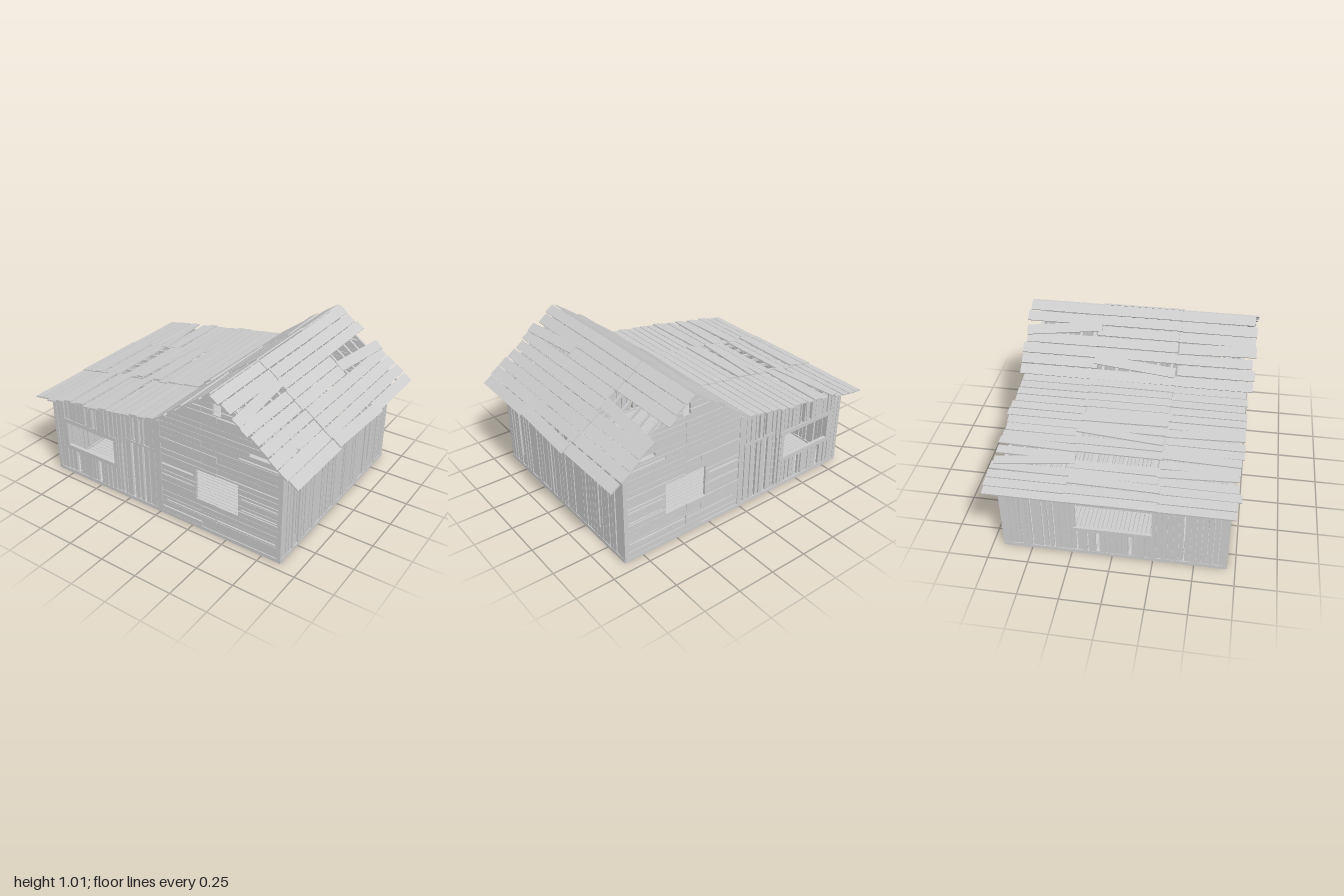
import * as THREE from 'three';
import { mergeGeometries } from 'three/addons/utils/BufferGeometryUtils.js';

const THICK = 0.016;
const material = new THREE.MeshStandardMaterial({ color: 0xcccccc, flatShading: true });

// Small seeded generator for weathering
let seed = 7;
const rnd = () => (seed = (seed * 16807) % 2147483647) / 2147483647;

// Underside of the roof at x
const roofY = (x) => (x < 0 ? 0.672 + 0.16 * x : x < 0.43 ? 0.672 + 0.74 * x : 0.99 - 0.74 * (x - 0.43));

// Flat plank from corner points, centred on z = 0
function plank(points, depth = THICK) {
  const shape = new THREE.Shape(points.map(([x, y]) => new THREE.Vector2(x, y)));
  return new THREE.ExtrudeGeometry(shape, { depth, bevelEnabled: false }).translate(0, 0, -depth / 2);
}
const rect = ([x0, x1, y0, y1], depth) => plank([[x0, y0], [x1, y0], [x1, y1], [x0, y1]], depth);

// Subtract rectangular openings from a rectangle [x0, x1, y0, y1]
function cut(r, holes) {
  let parts = [r];
  for (const [a, b, c, d] of holes) {
    parts = parts.flatMap(([x0, x1, y0, y1]) => {
      if (x1 <= a || x0 >= b || y1 <= c || y0 >= d) return [[x0, x1, y0, y1]];
      const l = Math.max(x0, a), h = Math.min(x1, b);
      return [[x0, l, y0, y1], [h, x1, y0, y1], [l, h, y0, Math.min(y1, c)], [l, h, Math.max(y0, d), y1]]
        .filter((p) => p[1] - p[0] > 0.004 && p[3] - p[2] > 0.004);
    });
  }
  return parts;
}

// Upright boards from u0 to u1 below a height function, cut around openings
function uprightBoards(u0, u1, y0, top, pitch, holes, wide) {
  const out = [];
  const n = Math.round((u1 - u0) / pitch), w = (u1 - u0) / n;
  for (let i = 0; i < n; i++) {
    const gap = rnd() < wide ? 0.009 : 0.002;
    const a = u0 + i * w, b = a + w - gap, off = (rnd() - 0.5) * 0.006;
    for (const [x0, x1, c, d] of cut([a, b, y0, 2], holes)) {
      out.push(plank([[x0, c], [x1, c], [x1, Math.min(d, top(x1))], [x0, Math.min(d, top(x0))]]).translate(0, 0, off));
    }
  }
  return out;
}

// Level siding under the gable, in two lengths per course
function gableSiding() {
  const holes = [[0.285, 0.58, 0.22, 0.43], [0.405, 0.46, 0.84, 0.915], [0.65, 0.845, 0.655, 0.68],
    [0.58, 0.845, 0.612, 0.622], [0.01, 0.26, 0.375, 0.383], [0.02, 0.27, 0.3, 0.307],
    [0.6, 0.845, 0.34, 0.348], [0.05, 0.42, 0.112, 0.119], [0.43, 0.84, 0.112, 0.122], [0.6, 0.845, 0.265, 0.273]];
  const out = [];
  const pitch = 0.0385;
  for (let i = 0, y = 0.025; y < 0.97; i++, y += pitch) {
    const seam = i % 3 ? 0.43 : 0.32;
    for (const [xa, xb] of [[0, seam], [seam + 0.002, 0.87]]) {
      const gap = rnd() < 0.25 ? 0.007 : 0.002, off = (rnd() - 0.5) * 0.006;
      for (const [x0, x1, a, b] of cut([xa, xb, y, y + pitch - gap], holes)) {
        const left = (v) => Math.max(x0, (v - 0.672) / 0.74);
        const right = (v) => Math.min(x1, 0.43 + (0.99 - v) / 0.74);
        if (left(b) < right(b)) {
          out.push(plank([[left(a), a], [right(a), a], [right(b), b], [left(b), b]]).translate(0, 0, off));
        }
      }
    }
  }
  return out;
}

// Lean-to end wall with window, rails and plank door
function leanToWall() {
  const holes = [[-0.77, -0.36, 0.19, 0.42], [-0.265, -0.025, 0, 0.445],
    [-0.71, -0.68, 0.03, 0.19], [-0.515, -0.485, 0.03, 0.19], [-0.6, -0.585, 0.43, 0.6],
    [-0.53, -0.515, 0.43, 0.6], [-0.2, -0.185, 0.46, 0.62], [-0.145, -0.135, 0.46, 0.62], [-0.3, -0.29, 0.03, 0.4]];
  const out = uprightBoards(-0.85, 0, 0.02, roofY, 0.035, holes, 0.3);
  out.push(rect([-0.79, -0.34, 0.19, 0.22], 0.022), rect([-0.79, -0.34, 0.39, 0.42], 0.022));
  out.push(rect([-0.79, -0.765, 0.22, 0.39], 0.022), rect([-0.365, -0.34, 0.22, 0.39], 0.022));
  // Door boards with uneven gaps
  for (const [a, b] of [[-0.26, -0.222], [-0.2, -0.165], [-0.155, -0.13], [-0.112, -0.078], [-0.07, -0.03]]) {
    out.push(rect([a, b, 0.025, 0.435]));
  }
  out.push(rect([-0.265, -0.025, 0.437, 0.452], 0.022));
  // A loose slanting board above the window
  out.push(plank([[-0.58, 0.425], [-0.56, 0.425], [-0.535, 0.585], [-0.555, 0.585]], 0.024));
  return out;
}

// Courses of roof boards along z, from slope point A to B (x, y)
function roofBoards([ax, ay], [bx, by], count, reach, flaws) {
  const out = [];
  const len = Math.hypot(bx - ax, by - ay), slope = Math.atan2(by - ay, bx - ax), w = len / count;
  const rows = [[-reach, -0.26], [-0.262, 0.265], [0.268, reach]];
  rows.forEach(([z0, z1], r) => {
    for (let i = 0; i < count; i++) {
      const flaw = flaws[r + ':' + i];
      if (flaw === null) continue;
      const yaw = flaw ?? (rnd() - 0.5) * 0.012;
      const width = w * (0.86 + 0.1 * rnd());
      const zMid = (z0 + z1) / 2 + (rnd() - 0.5) * 0.025;
      const g = new THREE.BoxGeometry(width, 0.009, z1 - z0 + 0.012);
      g.rotateZ((rnd() - 0.5) * 0.05).rotateY(yaw);
      g.translate((i + 0.5) * w, 0.004 + (flaw ? 0.009 : 0) + r % 2 * 0.006, 0);
      out.push(g.rotateZ(slope).translate(ax, ay, zMid));
    }
  });
  return out;
}

// Rafters running up a slope
function rafters([ax, ay], [bx, by]) {
  const out = [];
  const len = Math.hypot(bx - ax, by - ay) - 0.03, slope = Math.atan2(by - ay, bx - ax);
  for (let i = 0; i < 16; i++) {
    const g = new THREE.BoxGeometry(len, 0.016, 0.016).translate(0, -0.01, 0).rotateZ(slope);
    out.push(g.translate((ax + bx) / 2, (ay + by) / 2, -0.66 + i * 0.0893));
  }
  return out;
}

export function createModel() {
  seed = 7;
  const model = new THREE.Group();
  const add = (name, geometries) => {
    const mesh = new THREE.Mesh(mergeGeometries(geometries.map((g) => (g.index ? g.toNonIndexed() : g))), material);
    mesh.name = name;
    model.add(mesh);
    return mesh;
  };

  // Matching front and back walls
  const siding = add('frontGableSiding', gableSiding());
  const lean = add('frontLeanToWall', leanToWall());
  for (const [mesh, name] of [[siding, 'backGableSiding'], [lean, 'backLeanToWall']]) {
    mesh.position.z = 0.688;
    const back = mesh.clone();
    back.name = name;
    back.position.z = -0.67;
    model.add(back);
  }

  // Side walls of upright boards
  const sideWall = (name, x, height, holes) => {
    const boards = uprightBoards(-0.66, 0.68, 0.025, () => height, 0.034, holes, 0.3);
    add(name, boards.map((g) => g.rotateY(-Math.PI / 2).translate(x, 0, 0)));
  };
  sideWall('rightEndWall', 0.868, 0.665, [[0.525, 0.545, 0.1, 0.7], [-0.43, -0.415, 0.1, 0.6], [-0.06, -0.05, 0.03, 0.6]]);
  sideWall('leftEndWall', -0.866, 0.535, [[-0.21, 0.24, 0.2, 0.42], [-0.1, -0.08, 0.03, 0.2], [0.1, 0.12, 0.03, 0.2]]);
  const rails = [0.2, 0.41].map((y) => new THREE.BoxGeometry(0.022, 0.025, 0.5).translate(-0.868, y, 0.015));
  add('leftWindowRails', rails);

  // Corner posts and sills
  const posts = [];
  for (const z of [-0.668, 0.686]) {
    for (const [x, h] of [[-0.862, 0.53], [0.008, 0.67], [0.864, 0.665]]) {
      posts.push(new THREE.BoxGeometry(0.026, h, 0.028).translate(x, h / 2, z));
    }
  }
  add('cornerPosts', posts);
  const sills = [-0.668, 0.686].map((z) => new THREE.BoxGeometry(1.75, 0.025, 0.028).translate(0, 0.0125, z));
  for (const x of [-0.864, 0.866]) sills.push(new THREE.BoxGeometry(0.026, 0.025, 1.36).translate(x, 0.0125, 0.009));
  add('sills', sills);

  // Floor boards
  const floor = [];
  for (let i = 0; i < 48; i++) {
    floor.push(new THREE.BoxGeometry(1.72, 0.012, 0.0255).translate(0, 0.008, -0.649 + i * 0.028));
  }
  add('floorBoards', floor);

  // Roof: lean-to, inner slope and outer slope, with missing (null) and skewed boards
  const eave = [-1, 0.522], valley = [0, 0.685], ridge = [0.43, 1.003], outer = [0.995, 0.59];
  add('leanToRoof', roofBoards(eave, valley, 16, 0.73,
    { '0:4': 0.13, '0:6': -0.03, '1:2': -0.02, '1:5': null, '1:8': -0.09, '1:10': 0.02, '2:4': 0.05, '2:6': -0.03, '2:9': 0.04 }));
  add('innerRoof', roofBoards(valley, ridge, 7, 0.755, { '0:4': 0.13, '1:1': -0.1, '2:3': 0.03 }));
  add('outerRoof', roofBoards(ridge, outer, 9, 0.755, { '0:4': -0.1, '0:3': null, '2:2': 0.08, '1:8': -0.04 }));
  add('rafters', [...rafters(eave, valley), ...rafters(valley, ridge), ...rafters(ridge, outer)]);

  return model;
}
